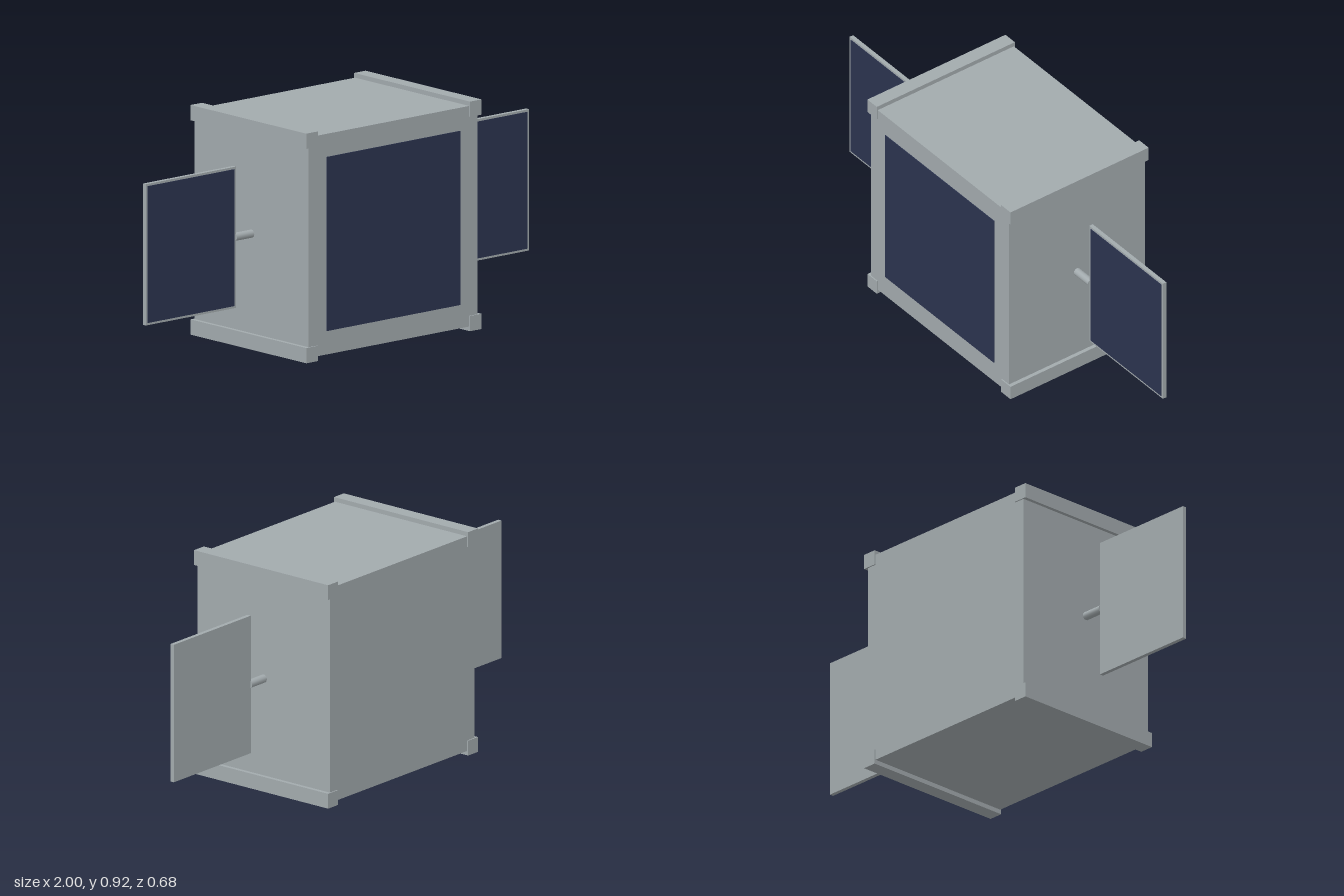
import * as THREE from 'three';

export function createModel() {
  const model = new THREE.Group();
  model.name = 'satellite';

  const metal = new THREE.MeshStandardMaterial({ color: 0xa2aaad });
  metal.name = 'grey metal';
  const navy = new THREE.MeshStandardMaterial({ color: 0x2b334f });
  navy.name = 'navy solar cell';

  const midY = 0.459;

  function box(name, w, h, d, x, y, z, material, parent = model) {
    const mesh = new THREE.Mesh(new THREE.BoxGeometry(w, h, d), material);
    mesh.name = name;
    mesh.position.set(x, y, z);
    parent.add(mesh);
    return mesh;
  }

  // Main body with a solar cell on the front
  box('body', 0.882, 0.882, 0.67, 0, midY, 0, metal);
  box('frontSolarCell', 0.696, 0.696, 0.004, 0, midY + 0.001, 0.336, navy);

  for (const side of [1, -1]) {
    const label = side > 0 ? 'left' : 'right';

    // Corner rails running front to back
    for (const up of [1, -1]) {
      box(`${label}${up > 0 ? 'Upper' : 'Lower'}Rail`, 0.06, 0.061, 0.68,
        side * 0.427, midY + up * 0.4285, 0, metal);
    }

    // Solar wing: arm, panel and front cell
    const wing = new THREE.Group();
    wing.name = `${label}SolarWing`;
    wing.position.y = midY;
    model.add(wing);

    const arm = new THREE.Mesh(new THREE.CylinderGeometry(0.0165, 0.0165, 0.1, 12), metal);
    arm.name = 'wingArm';
    arm.rotation.z = Math.PI / 2;
    arm.position.x = side * 0.481;
    wing.add(arm);

    box('wingPanel', 0.47, 0.565, 0.017, side * 0.765, 0, 0, metal, wing);
    box('wingSolarCell', 0.452, 0.547, 0.003, side * 0.765, 0, 0.009, navy, wing);
  }

  return model;
}
